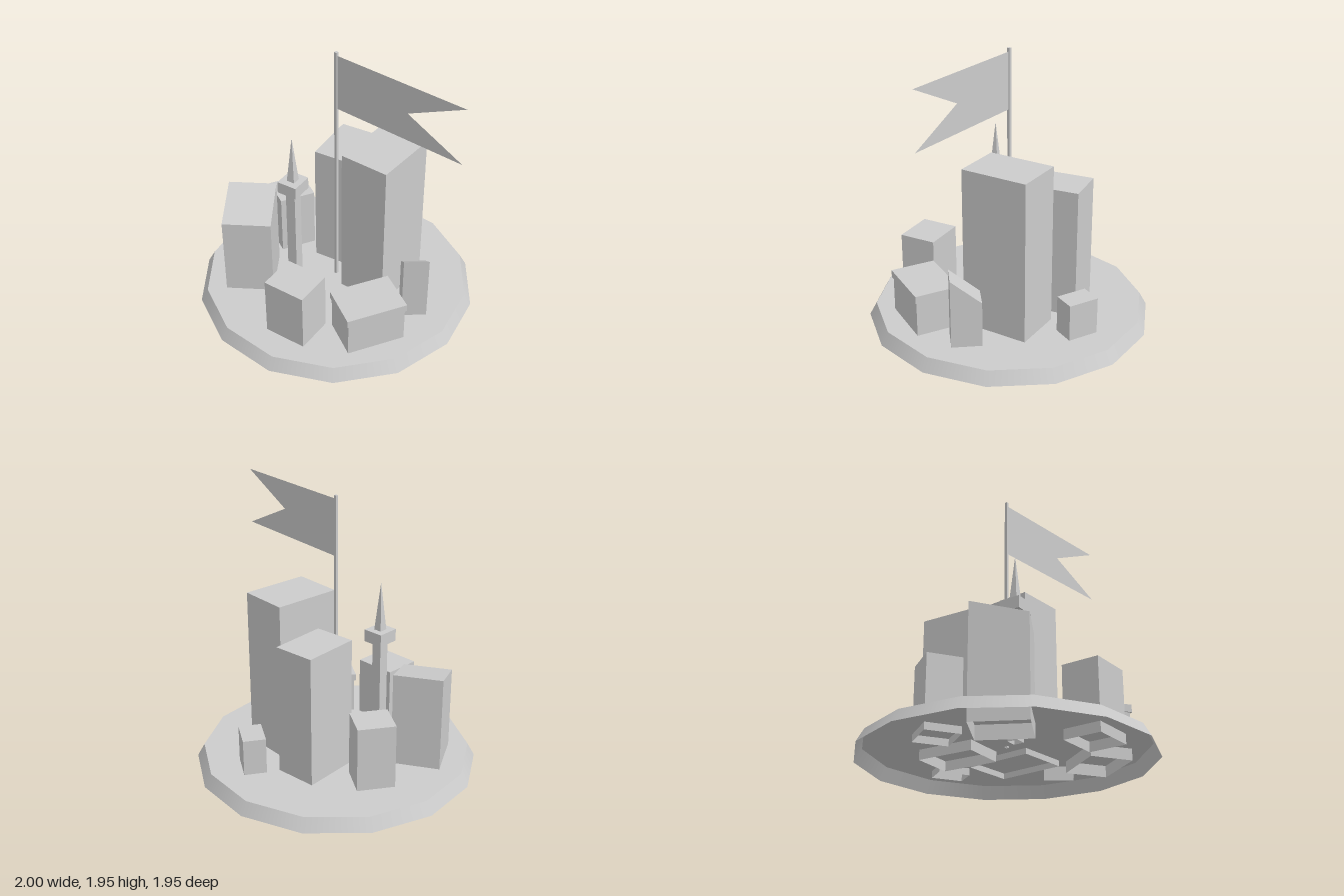
import * as THREE from 'three';

const GROUND = 0.1;
const flat = new THREE.MeshStandardMaterial({ color: 0xcccccc, flatShading: true, side: THREE.DoubleSide });
const smooth = new THREE.MeshStandardMaterial({ color: 0xcccccc, side: THREE.DoubleSide });

// Box from y0 up to yLeft on its -x side and yRight on its +x side, left open underneath
function openBlock(w, d, y0, yLeft, yRight = yLeft) {
  const geo = new THREE.BoxGeometry(w, 1, d);
  const p = geo.attributes.position;
  for (let i = 0; i < p.count; i++) {
    const top = p.getX(i) < 0 ? yLeft : yRight;
    p.setY(i, p.getY(i) > 0 ? top : y0);
  }
  const index = Array.from(geo.index.array);
  index.splice(18, 6); // bottom face
  geo.setIndex(index);
  geo.clearGroups();
  geo.computeVertexNormals();
  return geo;
}

function add(parent, name, geometry, material = flat) {
  const mesh = new THREE.Mesh(geometry, material);
  mesh.name = name;
  parent.add(mesh);
  return mesh;
}

function place(parent, name, x, z, turn) {
  const g = new THREE.Group();
  g.name = name;
  g.position.set(x, 0, z);
  g.rotation.y = turn;
  parent.add(g);
  return g;
}

export function createModel() {
  const model = new THREE.Group();
  model.name = 'cityOnDisc';

  // Fourteen-sided hollow base: sloped rim and ground disc
  const base = place(model, 'base', 0, 0, 0);
  add(base, 'baseRim', new THREE.CylinderGeometry(0.95, 1, 0.09, 14, 1, true, Math.PI / 2), smooth)
    .position.y = 0.055;
  const ground = add(base, 'ground', new THREE.CircleGeometry(0.95, 14));
  ground.rotation.x = -Math.PI / 2;
  ground.position.y = GROUND;

  // Plain and slant-roofed buildings: name, x, z, turn, width, depth, bottom, top at -x, top at +x
  const buildings = [
    ['backTower', -0.147, -0.3, 0.18, 0.3, 0.408, 0.03, 1.03],
    ['tallTower', 0.276, -0.176, 0.045, 0.358, 0.483, 0.06, 1.24],
    ['smallBackHouse', 0.125, -0.637, -0.45, 0.22, 0.157, 0.05, 0.36],
    ['sideBlock', -0.526, -0.111, -0.468, 0.243, 0.262, 0.05, 0.56],
    ['slantedBlock', -0.473, 0.386, -0.943, 0.373, 0.341, 0, 0.78, 0.69],
    ['frontBlock', 0.146, 0.607, 0.105, 0.306, 0.268, 0.03, 0.53],
    ['slantedHouse', 0.636, -0.083, -0.858, 0.208, 0.174, 0.05, 0.42, 0.59],
  ];
  for (const [name, x, z, turn, ...size] of buildings) {
    add(place(model, name, x, z, turn), name + 'Walls', openBlock(...size));
  }

  // Low hall with an overhanging flat roof
  const hall = place(model, 'hall', 0.551, 0.326, -0.494);
  add(hall, 'hallWalls', openBlock(0.297, 0.41, 0.02, 0.36));
  add(hall, 'hallRoof', new THREE.BoxGeometry(0.316, 0.053, 0.43)).position.y = 0.377;

  // Slender tower with balcony and spire
  const spireTower = place(model, 'spireTower', -0.184, 0.242, 0.13);
  add(spireTower, 'shaft', openBlock(0.073, 0.073, 0.03, 0.93));
  add(spireTower, 'balcony', new THREE.BoxGeometry(0.148, 0.087, 0.155)).position.y = 0.955;
  const spire = add(spireTower, 'spire', new THREE.ConeGeometry(0.042, 0.345, 4, 1));
  spire.rotation.y = Math.PI / 4;
  spire.position.y = 1.168;

  // Flagpole and swallow-tailed flag
  add(model, 'flagpole', openBlock(0.02, 0.02, 0.09, 1.95));
  const outline = [[0.01, 1.53], [0.99, 1.53], [0.57, 1.725], [0.99, 1.925], [0.01, 1.925]];
  add(model, 'flag', new THREE.ShapeGeometry(new THREE.Shape(outline.map(([x, y]) => new THREE.Vector2(x, y)))));

  return model;
}
